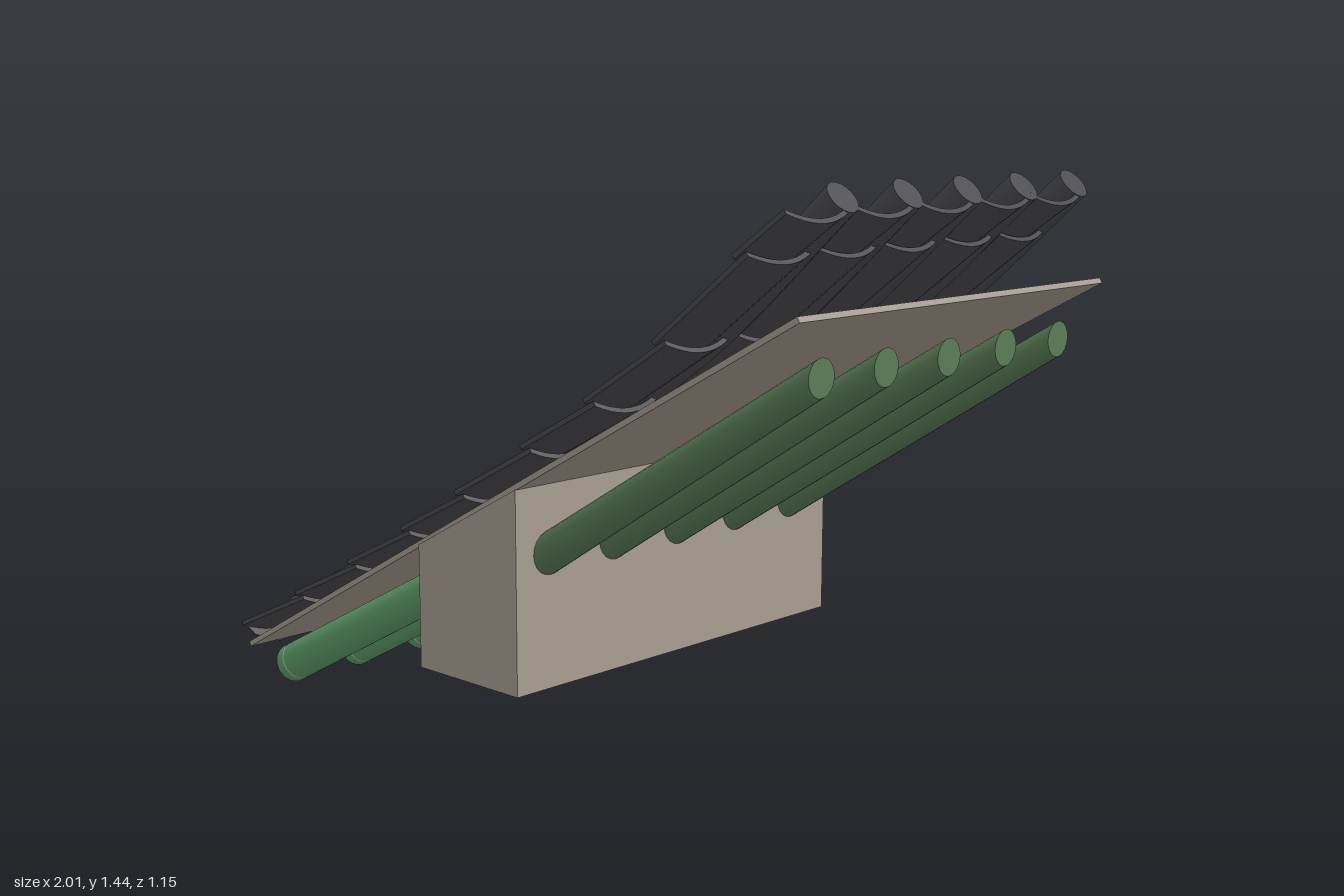
import * as THREE from 'three';
import { toCreasedNormals } from 'three/addons/utils/BufferGeometryUtils.js';

const V = (x, y, z = 0) => new THREE.Vector3(x, y, z);
const mat = (name, color, side = THREE.FrontSide) => {
  const m = new THREE.MeshStandardMaterial({ color, side });
  m.name = name;
  return m;
};

export function createModel() {
  const model = new THREE.Group();
  model.name = 'eaveSection';
  const tile = mat('tileGrey', 0x4b4a4f);
  const wood = mat('paleWood', 0xa89e92);
  const green = mat('paintedGreen', 0x5f9f6b);
  const olive = mat('oliveGreen', 0x5a7d57);
  const red = mat('paintedRed', 0xb0492f);
  const cream = mat('paintedCream', 0xb9b8a0);

  const add = (name, geo, material, parent = model) => {
    const mesh = new THREE.Mesh(geo, material);
    mesh.name = name;
    parent.add(mesh);
    return mesh;
  };
  const group = (name) => {
    const g = new THREE.Group();
    g.name = name;
    model.add(g);
    return g;
  };
  const Z = V(0, 0, 1);

  // Wall beam with a sloped top
  const beamShape = new THREE.Shape([
    [-0.2, 0.205], [0.157, 0.205], [0.157, 0.71], [-0.2, 0.52],
  ].map(([x, y]) => new THREE.Vector2(x, y)));
  add('wallBeam', new THREE.ExtrudeGeometry(beamShape, { depth: 1.15, bevelEnabled: false })
    .translate(0, 0, -0.575), wood);

  // Roof board
  const b0 = V(-0.948, 0.113), b1 = V(0.996, 1.175);
  const board = add('roofBoard', new THREE.BoxGeometry(b0.distanceTo(b1), 0.014, 1.145), wood);
  board.position.copy(b0).lerp(b1, 0.5);
  board.rotation.z = Math.atan2(b1.y - b0.y, b1.x - b0.x);

  // Rafters: a round outer one below the eave and a tapered inner one cut upright
  const outer0 = V(-0.9, 0.045), outer1 = V(-0.1, 0.462);
  const outerLen = outer0.distanceTo(outer1);
  const outerAngle = Math.atan2(outer1.y - outer0.y, outer1.x - outer0.x);
  const outerGeo = new THREE.CylinderGeometry(0.05, 0.054, outerLen, 20)
    .rotateZ(-Math.PI / 2).translate(outerLen / 2, 0, 0);
  const bandGeo = new THREE.CylinderGeometry(0.0546, 0.0546, 0.006, 20, 1, true)
    .rotateZ(-Math.PI / 2).translate(0.035, 0, 0);
  const discGeo = (r, out) => new THREE.CircleGeometry(r, 20).rotateY(-Math.PI / 2).translate(-out, 0, 0);
  const innerLen = 0.97, slope = 0.617;
  const innerGeo = new THREE.CylinderGeometry(0.043, 0.058, innerLen, 20)
    .rotateZ(-Math.PI / 2).translate(innerLen / 2, 0, 0);
  innerGeo.applyMatrix4(new THREE.Matrix4().set(1, 0, 0, 0, slope, 1, 0, 0.445, 0, 0, 1, 0, 0, 0, 0, 1));
  innerGeo.computeVertexNormals();
  const innerSmooth = toCreasedNormals(innerGeo, 0.7);

  for (const z of [0.463, 0.243, 0.013, -0.21, -0.432]) {
    const outer = group('outerRafter');
    outer.position.set(outer0.x, outer0.y, z);
    outer.rotation.z = outerAngle;
    add('rafterPole', outerGeo, green, outer);
    add('rafterBand', bandGeo, cream, outer);
    add('rafterEndPaint', discGeo(0.036, 0.002), red, outer);
    add('rafterEndCentre', discGeo(0.014, 0.004), green, outer);
    add('innerRafter', innerSmooth, olive).position.z = z;
  }

  // Sagging roof line shared by all tiles
  const line = new THREE.CatmullRomCurve3([
    V(-0.99, 0.168), V(-0.68, 0.33), V(-0.38, 0.494), V(0.02, 0.727),
    V(0.42, 0.975), V(0.62, 1.12), V(0.94, 1.407),
  ]);
  const samples = line.getSpacedPoints(400);
  const at = (x) => samples.find((p) => p.x >= x) || samples[400];

  // Convex cover rolls with closed ends
  const rollZ = [0.366, 0.14, -0.083, -0.307, -0.523];
  const rollR = 0.041;
  const tube = new THREE.TubeGeometry(line, 32, rollR, 18);
  const cap = new THREE.CircleGeometry(rollR, 18);
  for (const z of rollZ) {
    const roll = group('coverRoll');
    roll.position.z = z;
    add('rollBody', tube, tile, roll);
    for (const [t, dir] of [[0, -1], [1, 1]]) {
      const end = add('rollEnd', cap, tile, roll);
      end.position.copy(line.getPoint(t));
      end.quaternion.setFromUnitVectors(Z, line.getTangent(t).multiplyScalar(dir));
    }
  }

  // Concave pan tiles, each overlapping the one below it
  const half = 0.104, sag = 0.028, thick = 0.012, N = 10;
  const arc = (drop) => Array.from({ length: N + 1 }, (_, i) => {
    const u = (i / N) * 2 - 1;
    return new THREE.Vector2(u * half, -sag * (1 - u * u) - drop);
  });
  const panShape = new THREE.Shape([...arc(thick), ...arc(0).reverse()]);
  // Hanging drip lip on the lowest pan
  const lipShape = new THREE.Shape([
    ...arc(0).reverse(),
    new THREE.Vector2(-half * 0.75, -0.045),
    new THREE.Vector2(-half * 0.3, -0.066),
    new THREE.Vector2(0, -0.078),
    new THREE.Vector2(half * 0.3, -0.066),
    new THREE.Vector2(half * 0.75, -0.045),
  ]);
  const extrude = (shape, depth) =>
    toCreasedNormals(new THREE.ExtrudeGeometry(shape, { depth, bevelEnabled: false }), 0.6);

  const starts = [-0.985, -0.73, -0.5, -0.28, -0.07, 0.165, 0.375, 0.59, 0.815];
  starts.forEach((x, k) => {
    const p0 = at(x).clone();
    const p1 = at(Math.min((starts[k + 1] ?? 1) + 0.025, 0.94)).clone();
    const dir0 = p1.clone().sub(p0).normalize();
    const up = V(-dir0.y, dir0.x);
    p1.addScaledVector(up, -0.02);
    const dir = p1.clone().sub(p0).normalize();
    const basis = new THREE.Matrix4().makeBasis(V(0, 0, -1), V(-dir.y, dir.x), dir);
    const geo = extrude(panShape, p0.distanceTo(p1)).applyMatrix4(basis);
    const lip = k === 0 ? extrude(lipShape, 0.008).applyMatrix4(basis) : null;
    for (const z of rollZ) {
      add('panTile', geo, tile).position.set(p0.x, p0.y, z + 0.102);
      if (lip) add('dripLip', lip, tile).position.set(p0.x, p0.y, z + 0.102);
    }
  });
  return model;
}
